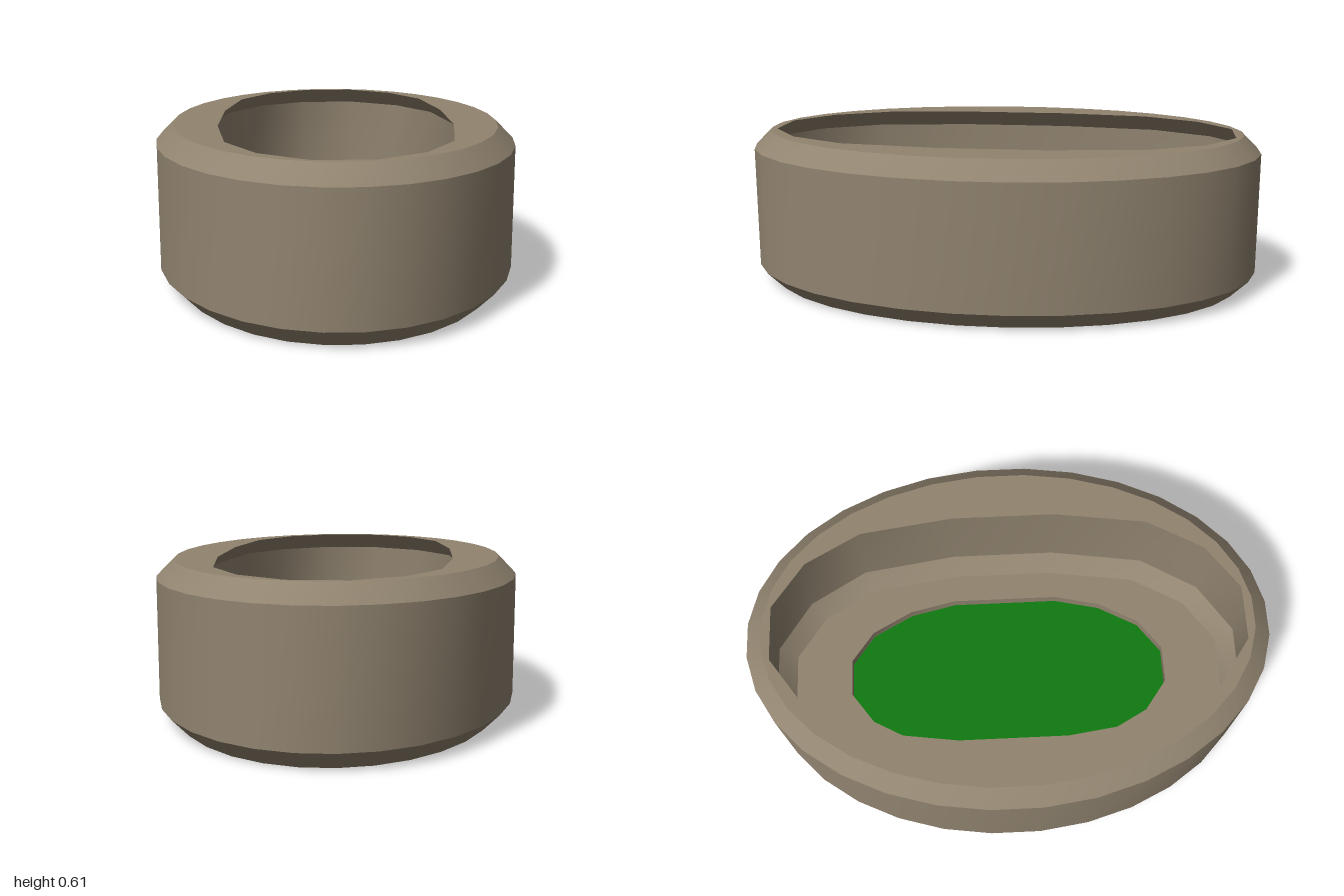
import * as THREE from 'three';

// Outer oval: 32 points
const oval = (a, b) => Array.from({ length: 32 }, (_, i) => {
  const t = (i + 0.5) / 32 * Math.PI * 2;
  return [a * Math.cos(t) / Math.cos(Math.PI / 32), b * Math.sin(t) / Math.cos(Math.PI / 32)];
});

// 16-sided oval mirrored from one quadrant
function mirrored(q) {
  const back = [...q].reverse();
  return [
    ...q,
    ...back.map(([x, z]) => [-x, z]),
    ...q.map(([x, z]) => [-x, -z]),
    ...back.map(([x, z]) => [x, -z]),
  ];
}

// Smooth band between two rings
function band(ringA, yA, ringB, yB) {
  const n = ringA.length, pos = [], index = [];
  ringA.forEach(([x, z]) => pos.push(x, yA, z));
  ringB.forEach(([x, z]) => pos.push(x, yB, z));
  for (let i = 0; i < n; i++) {
    const j = (i + 1) % n;
    index.push(i, n + i, j, j, n + i, n + j);
  }
  const geo = new THREE.BufferGeometry();
  geo.setAttribute('position', new THREE.Float32BufferAttribute(pos, 3));
  geo.setIndex(index);
  geo.computeVertexNormals();
  return geo;
}

// Flat face with an optional hole, facing up or down
function flat(ring, hole, y, up) {
  const points = (r) => r.map(([x, z]) => new THREE.Vector2(x, z));
  const shape = new THREE.Shape(points(ring));
  if (hole) shape.holes.push(new THREE.Path(points(hole)));
  return new THREE.ShapeGeometry(shape).rotateX(up ? -Math.PI / 2 : Math.PI / 2).translate(0, y, 0);
}

export function createModel() {
  const stone = new THREE.MeshStandardMaterial({ color: 0x918470 });
  stone.name = 'stone brown';
  const green = new THREE.MeshStandardMaterial({ color: 0x0f7a10, side: THREE.DoubleSide });
  green.name = 'green';

  const model = new THREE.Group();
  model.name = 'ovalBowl';
  const add = (name, geo, mat = stone) => {
    const mesh = new THREE.Mesh(geo, mat);
    mesh.name = name;
    model.add(mesh);
  };

  const height = 0.605, bevel = 0.067, floorY = 0.045;
  const outer = oval(0.697, 1);
  const edge = oval(0.63, 0.933);
  const opening = mirrored([[0.45, 0.2], [0.4, 0.56], [0.28, 0.775], [0.105, 0.9]]);
  const cavity = opening.map(([x, z]) => [x * 0.517 / 0.45, z * 0.967 / 0.9]);
  const window = mirrored([[0.333, 0.22], [0.29, 0.41], [0.2, 0.575], [0.075, 0.667]]);

  // Outside
  add('lowerBevel', band(edge, 0, outer, bevel));
  add('outerWall', band(outer, bevel, outer, height - bevel));
  add('upperBevel', band(outer, height - bevel, edge, height));
  add('rim', flat(edge, opening, height, true));
  add('underside', flat(edge, window, 0, false));

  // Inside, undercut below the rim
  add('rimUndercut', band(opening, height, cavity, height - bevel));
  add('innerWall', band(cavity, height - bevel, cavity, floorY + bevel));
  add('floorBevel', band(cavity, floorY + bevel, opening, floorY));
  add('floor', flat(opening, window, floorY, true));
  add('floorHoleWall', band(window, floorY, window, 0));

  // Thin panel filling the hole in the base
  add('basePanel', flat(window, null, 0, true), green);
  return model;
}
